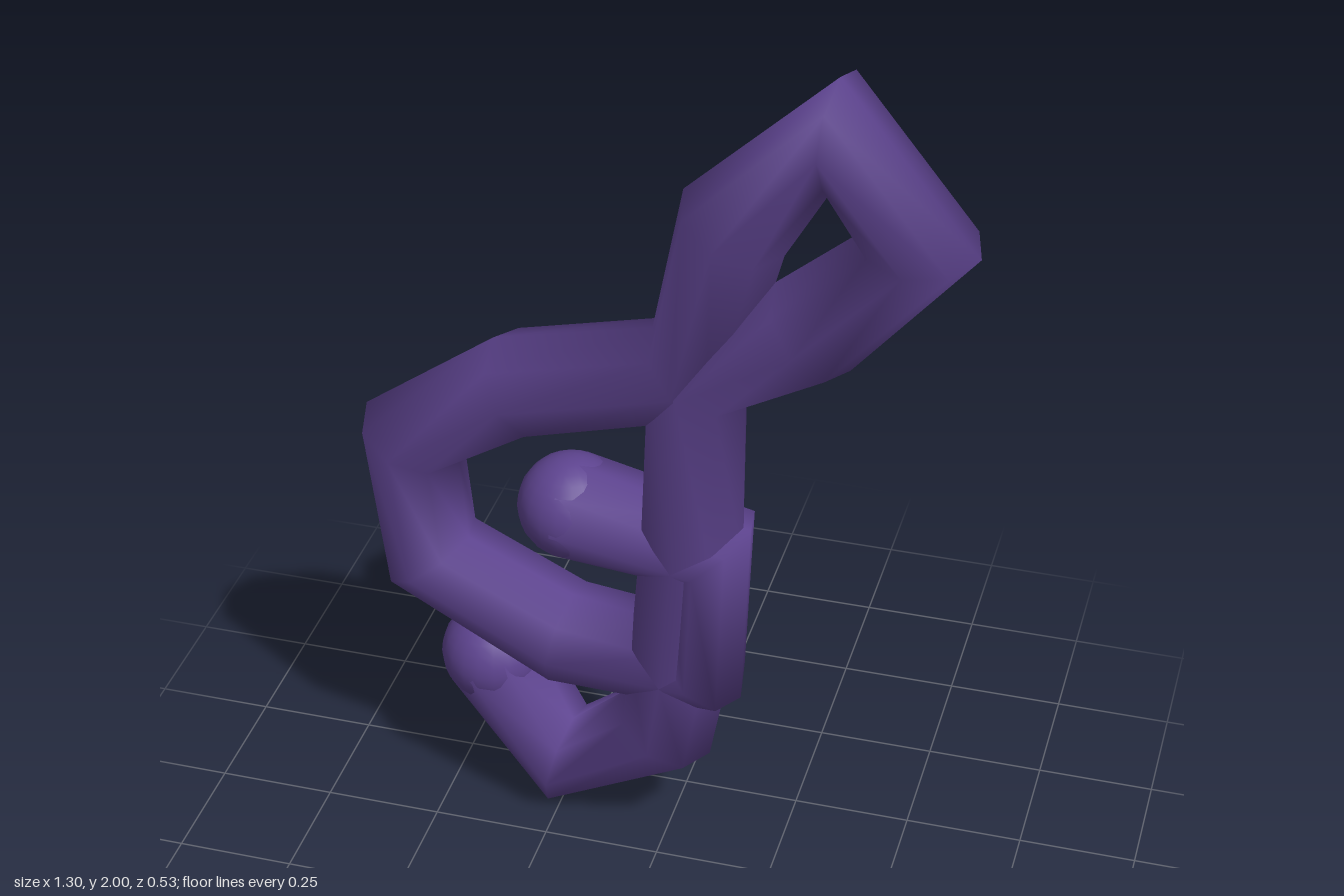
import * as THREE from 'three';

const R = 0.112;
const SIDES = 8;

// The whole knot lies in one gently tilted plane
const onPlane = ([x, y]) => new THREE.Vector3(x, y, 0.15 * x + 0.12 * (y - 1.27) + 0.025);
const planeNormal = new THREE.Vector3(-0.15, -0.12, 1).normalize();

// Eight-sided tube along a polyline, one unscaled ring on the bisector of each corner
function sweep(points) {
  const path = points.map(onPlane);
  const last = path.length - 1;
  const pos = [], index = [];
  path.forEach((p, i) => {
    const t = new THREE.Vector3();
    if (i > 0) t.add(p.clone().sub(path[i - 1]).normalize());
    if (i < last) t.add(path[i + 1].clone().sub(p).normalize());
    t.normalize();
    const u = planeNormal.clone().cross(t);
    for (let k = 0; k < SIDES; k++) {
      const a = (k / SIDES) * Math.PI * 2;
      const v = p.clone().addScaledVector(u, R * Math.cos(a)).addScaledVector(planeNormal, R * Math.sin(a));
      pos.push(v.x, v.y, v.z);
      if (i < last) {
        const a0 = i * SIDES + k, b0 = i * SIDES + (k + 1) % SIDES;
        index.push(a0, b0, a0 + SIDES, b0, b0 + SIDES, a0 + SIDES);
      }
    }
  });
  const g = new THREE.BufferGeometry();
  g.setAttribute('position', new THREE.Float32BufferAttribute(pos, 3));
  g.setIndex(index);
  g.computeVertexNormals();
  return g;
}

export function createModel() {
  const purple = new THREE.MeshStandardMaterial({ color: 0x5e4490 });
  purple.name = 'purple';
  const model = new THREE.Group();
  model.name = 'knottedTube';

  // One continuous rope: hooked tail, stem, top loop, side loop, inner stub
  const rope = [
    [-0.405, 0.375], [-0.245, 0.12], [0.0, 0.3], [0.035, 0.51], [0.07, 0.83],
    [0.095, 1.28], [0.33, 1.445], [0.54, 1.685], [0.38, 1.895], [0.175, 1.645],
    [0.085, 1.28], [-0.29, 1.14], [-0.55, 0.94], [-0.53, 0.62], [-0.225, 0.488],
    [0.09, 0.51], [0.115, 0.83], [-0.195, 0.85],
  ];
  const tube = new THREE.Mesh(sweep(rope), purple);
  tube.name = 'rope';
  model.add(tube);

  // Rounded ends
  [['tailEnd', rope[0]], ['innerEnd', rope[rope.length - 1]]].forEach(([name, p]) => {
    const ball = new THREE.Mesh(new THREE.SphereGeometry(R, 20, 14), purple);
    ball.name = name;
    ball.position.copy(onPlane(p));
    model.add(ball);
  });

  return model;
}
